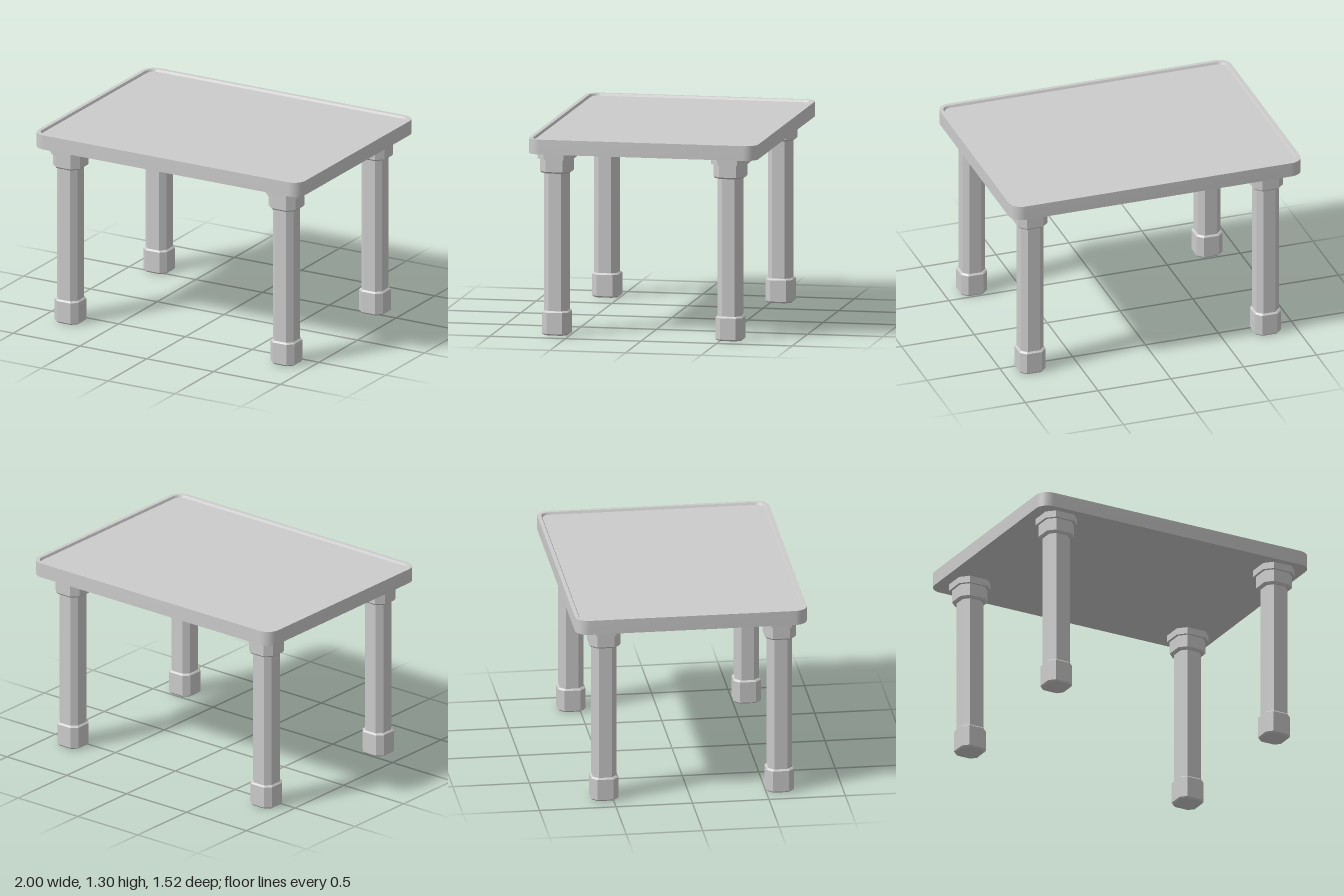
import * as THREE from 'three';
import { mergeVertices, toCreasedNormals } from 'three/addons/utils/BufferGeometryUtils.js';

const material = new THREE.MeshStandardMaterial({ color: 0xcccccc });
const flatMaterial = new THREE.MeshStandardMaterial({ color: 0xcccccc, flatShading: true });

// Rectangle outline with cut (steps = 1) or rounded corners, counter-clockwise from above
function outline(halfX, halfZ, corner, steps) {
  const points = [];
  for (let q = 0; q < 4; q++) {
    const sx = q === 0 || q === 3 ? 1 : -1;
    const sz = q < 2 ? 1 : -1;
    for (let i = 0; i <= steps; i++) {
      const a = (q + i / steps) * Math.PI / 2;
      points.push([
        sx * (halfX - corner) + corner * Math.cos(a),
        -(sz * (halfZ - corner) + corner * Math.sin(a)),
      ]);
    }
  }
  return points;
}

// Closed solid through sections { y, hx, hz, c }, listed from the bottom up the outside
function loft(sections, steps) {
  const positions = [];
  const index = [];
  const n = 4 * (steps + 1);
  for (const s of sections) {
    for (const [x, z] of outline(s.hx, s.hz, s.c, steps)) positions.push(x, s.y, z);
  }
  const bottom = positions.length / 3;
  const top = bottom + 1;
  const last = (sections.length - 1) * n;
  positions.push(0, sections[0].y, 0, 0, sections[sections.length - 1].y, 0);
  for (let i = 0; i < n; i++) {
    const j = (i + 1) % n;
    for (let r = 0; r < last; r += n) {
      index.push(r + i, r + j, r + n + j, r + i, r + n + j, r + n + i);
    }
    index.push(bottom, j, i, top, last + i, last + j);
  }
  const geometry = new THREE.BufferGeometry();
  geometry.setAttribute('position', new THREE.Float32BufferAttribute(positions, 3));
  geometry.setIndex(index);
  return geometry;
}

// Eight-sided block with optional bevels at its ends
function block(name, half, corner, y0, y1, bevel0 = 0, bevel1 = 0) {
  const section = (y, inset) => ({ y, hx: half - inset, hz: half - inset, c: corner - inset * 0.5 });
  const sections = [section(y0 + bevel0, 0), section(y1 - bevel1, 0)];
  if (bevel0) sections.unshift(section(y0, bevel0));
  if (bevel1) sections.push(section(y1, bevel1));
  const mesh = new THREE.Mesh(loft(sections, 1), flatMaterial);
  mesh.name = name;
  return mesh;
}

function createLeg() {
  const leg = new THREE.Group();
  leg.add(
    block('foot', 0.089, 0.037, 0, 0.16, 0.01, 0.01),
    block('shaft', 0.077, 0.035, 0.14, 1.1),
    block('collar', 0.101, 0.045, 1.064, 1.17, 0.011),
    block('flange', 0.117, 0.051, 1.158, 1.205),
  );
  return leg;
}

// Rounded slab with a raised rim around a shallow recess
function createTabletop() {
  const section = (y, inset) => ({ y, hx: 1 - inset, hz: 0.758 - inset, c: 0.085 - inset });
  const geometry = loft([
    section(1.203, 0), section(1.3, 0), section(1.3, 0.026), section(1.285, 0.034),
  ], 10);
  const mesh = new THREE.Mesh(toCreasedNormals(mergeVertices(geometry), 0.5), material);
  mesh.name = 'tabletop';
  return mesh;
}

export function createModel() {
  const table = new THREE.Group();
  table.name = 'table';
  table.add(createTabletop());

  // Legs, set slightly forward of centre
  for (const [side, x] of [['Left', 0.811], ['Right', -0.805]]) {
    for (const [end, z] of [['front', 0.594], ['back', -0.554]]) {
      const leg = createLeg();
      leg.name = `${end}${side}Leg`;
      leg.position.set(x, 0, z);
      table.add(leg);
    }
  }
  return table;
}
